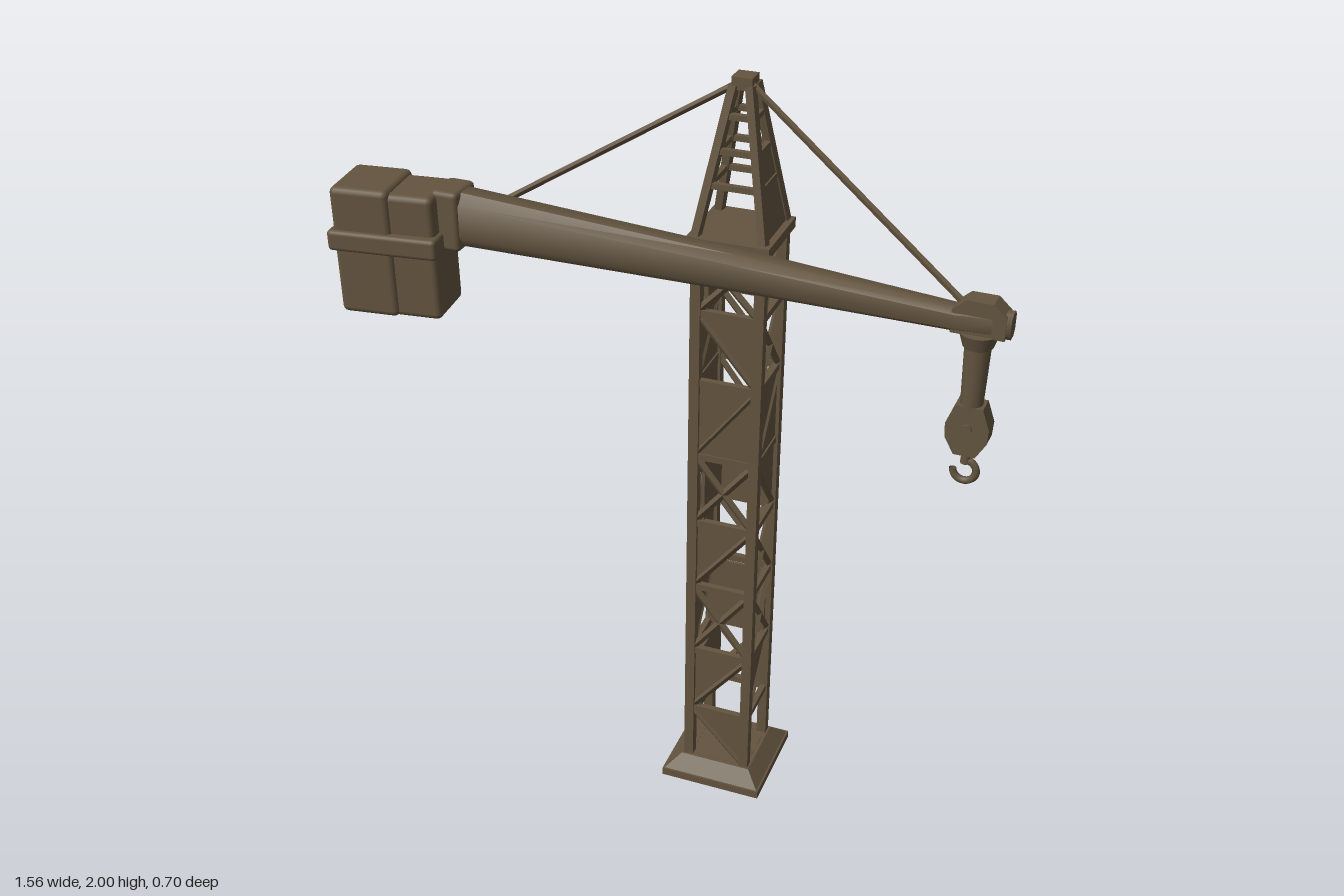
import * as THREE from 'three';
import { RoundedBoxGeometry } from 'three/addons/geometries/RoundedBoxGeometry.js';
import { toCreasedNormals } from 'three/addons/utils/BufferGeometryUtils.js';

const paint = new THREE.MeshStandardMaterial({ color: 0x63543f, side: THREE.DoubleSide });
paint.name = 'weathered brown';

function add(parent, name, geometry, x = 0, y = 0, z = 0) {
  const mesh = new THREE.Mesh(geometry, paint);
  mesh.name = name;
  mesh.position.set(x, y, z);
  parent.add(mesh);
  return mesh;
}

function group(parent, name, x = 0, y = 0, z = 0, turn = 0) {
  const g = new THREE.Group();
  g.name = name;
  g.position.set(x, y, z);
  g.rotation.y = turn;
  parent.add(g);
  return g;
}

const box = (w, h, d) => new THREE.BoxGeometry(w, h, d);

// Straight bar between two points
function bar(parent, name, a, b, w, d = w) {
  const p = new THREE.Vector3(...a), q = new THREE.Vector3(...b);
  const mesh = add(parent, name, box(w, d, p.distanceTo(q)));
  mesh.position.copy(p).lerp(q, 0.5);
  mesh.quaternion.setFromUnitVectors(new THREE.Vector3(0, 0, 1), q.sub(p).normalize());
  return mesh;
}

// Square frustum with flat sides
function frustum(bottom, top, height) {
  const g = new THREE.CylinderGeometry(top * Math.SQRT2, bottom * Math.SQRT2, height, 4).toNonIndexed();
  g.rotateY(Math.PI / 4);
  g.computeVertexNormals();
  return g;
}

// Thin plate from outline points
function plate(points, depth = 0.008) {
  const shape = new THREE.Shape(points.map(p => new THREE.Vector2(...p)));
  return new THREE.ExtrudeGeometry(shape, { depth, bevelEnabled: false });
}

// Chamfered beam lofted along x; stations are [x, low, high, half width]
function loftBeam(stations) {
  const pos = [], idx = [];
  for (const [x, low, high, w] of stations) {
    const h = (high - low) / 2, mid = (high + low) / 2;
    for (const [cy, cz] of [[1, -0.5], [1, 0.5], [0.6, 1], [-0.6, 1], [-1, 0.5], [-1, -0.5], [-0.6, -1], [0.6, -1]])
      pos.push(x, mid + cy * h, cz * w);
  }
  const last = (stations.length - 1) * 8;
  for (let s = 0; s < last; s += 8)
    for (let j = 0; j < 8; j++) {
      const a = s + j, b = s + (j + 1) % 8;
      idx.push(a, b, a + 8, b, b + 8, a + 8);
    }
  for (let k = 1; k < 7; k++) idx.push(0, k + 1, k, last, last + k, last + k + 1);
  const g = new THREE.BufferGeometry();
  g.setAttribute('position', new THREE.Float32BufferAttribute(pos, 3));
  g.setIndex(idx);
  return toCreasedNormals(g, 0.9);
}

function buildTower(root) {
  const tower = group(root, 'tower', 0.19, 0, -0.13, -0.37);
  const levels = [0.05, 0.22, 0.42, 0.63, 0.83, 1.03, 1.24, 1.43, 1.6];
  const h = 0.08;

  // Foot
  add(tower, 'basePlate', box(0.28, 0.022, 0.28), 0, 0.011, 0);
  add(tower, 'baseSlope', frustum(0.135, 0.098, 0.036), 0, 0.04, 0);

  // Lattice sides: F filled, T half filled, P recessed panel with cross, X open cross, O open
  const sides = ['TTXTXFTX', 'OTXXTFXX', 'OXPXPXXP', 'OPTFPTFP'];
  sides.forEach((codes, i) => {
    const face = group(tower, 'towerSide', 0, 0, 0, i * Math.PI / 2);
    add(face, 'cornerPost', box(0.026, 1.57, 0.026), h, 0.825, h);
    levels.forEach(y => add(face, 'rail', box(2 * h, 0.018, 0.016), 0, y, h));
    [...codes].forEach((code, c) => {
      const y0 = levels[c], y1 = levels[c + 1], flip = c % 2 ? 1 : -1;
      if (code === 'F') add(face, 'panel', box(2 * h, y1 - y0, 0.008), 0, (y0 + y1) / 2, h);
      if (code === 'P') add(face, 'recessedPanel', box(2 * h, y1 - y0, 0.008), 0, (y0 + y1) / 2, h - 0.025);
      if (code === 'T') add(face, 'gusset', plate([[-h * flip, y0], [h * flip, y1], [-h * flip, y1]]), 0, 0, h - 0.006);
      if (code === 'O') return;
      bar(face, 'brace', [-h * flip, y0, h], [h * flip, y1, h], 0.014);
      if (code === 'X' || code === 'P') bar(face, 'brace', [h * flip, y0, h], [-h * flip, y1, h], 0.014);
    });
  });

  // Head: collar and tapering mast
  add(tower, 'headCollar', box(0.205, 0.026, 0.205), 0, 1.617, 0);
  const halfAt = y => 0.083 - (y - 1.63) * 0.18;
  for (let i = 0; i < 4; i++) {
    const face = group(tower, 'mastSide', 0, 0, 0, i * Math.PI / 2);
    const a = halfAt(1.63), b = halfAt(1.98);
    bar(face, 'mastLeg', [a, 1.63, a], [b, 1.98, b], 0.02);
    for (const y of [1.75, 1.83, 1.91]) {
      const r = halfAt(y);
      add(face, 'rung', box(2 * r, 0.014, 0.014), 0, y, r);
    }
    if (i === 1) {
      const t = halfAt(1.83);
      const panel = add(face, 'mastPanel', plate([[-a, 0], [a, 0], [t, 0.203], [-t, 0.203]]), 0, 1.63, a - 0.004);
      panel.rotation.x = -Math.atan(0.18);
    }
  }
  add(tower, 'mastCap', box(0.05, 0.03, 0.05), 0, 1.985, 0);
}

function buildBoom(root) {
  const boom = group(root, 'boom', -0.52, 0, -0.205, -0.397);
  add(boom, 'boomBeam', loftBeam([
    [0, 1.565, 1.705, 0.043], [0.75, 1.575, 1.665, 0.038],
    [1.26, 1.575, 1.63, 0.029], [1.383, 1.575, 1.635, 0.023],
  ]));
  add(boom, 'tailCollar', new RoundedBoxGeometry(0.07, 0.15, 0.1, 2, 0.012), 0.03, 1.632, 0);

  // Pulley head, hanging arm, block and hook
  const hoist = group(boom, 'hoist', 1.312, 0, 0);
  add(hoist, 'pulleyHead', plate([[-0.06, 1.575], [0.06, 1.575], [0.06, 1.63], [0.03, 1.657], [-0.03, 1.657], [-0.06, 1.63]], 0.05), 0, 0, -0.025);
  add(hoist, 'armCollar', new THREE.CylinderGeometry(0.045, 0.034, 0.035, 16), 0, 1.56, 0);
  add(hoist, 'hangingArm', new THREE.CylinderGeometry(0.031, 0.026, 0.17, 12), 0, 1.475, 0);
  add(hoist, 'hookBlock', plate([[-0.032, 1.4], [-0.05, 1.35], [-0.048, 1.315], [-0.025, 1.275],
    [0.025, 1.275], [0.048, 1.315], [0.05, 1.35], [0.032, 1.4]], 0.05), 0, 0, -0.025);
  const pin = add(hoist, 'blockPin', new THREE.CylinderGeometry(0.012, 0.012, 0.062, 12), 0, 1.345, 0);
  pin.rotation.x = Math.PI / 2;
  add(hoist, 'hookShank', new THREE.CylinderGeometry(0.01, 0.012, 0.04, 10), 0, 1.265, 0);
  const hook = add(hoist, 'hook', new THREE.TorusGeometry(0.027, 0.009, 8, 20, Math.PI * 1.5), 0, 1.225, 0);
  hook.rotation.z = -Math.PI;
}

function buildCounterweight(root) {
  const weight = group(root, 'counterweight', -0.608, 0, -0.225, -0.285);
  weight.rotation.z = 0.02;
  add(weight, 'outerBlock', new RoundedBoxGeometry(0.15, 0.325, 0.165, 2, 0.015), -0.053, 1.545, 0).position.x += 0.03;
  add(weight, 'innerBlock', new RoundedBoxGeometry(0.13, 0.315, 0.145, 2, 0.015), 0.095, 1.54, 0);
  add(weight, 'endBlock', new RoundedBoxGeometry(0.06, 0.315, 0.15, 2, 0.015), -0.07, 1.545, 0);
  add(weight, 'belt', new RoundedBoxGeometry(0.28, 0.052, 0.19, 2, 0.01), 0.03, 1.575, 0);
  weight.position.x -= 0.03;
}

export function createModel() {
  const root = new THREE.Group();
  root.name = 'towerCrane';
  buildTower(root);
  buildBoom(root);
  buildCounterweight(root);

  // Stay cables from the mast cap to the boom
  bar(root, 'rearCable', [0.18, 1.985, -0.127], [-0.38, 1.67, -0.178], 0.011);
  bar(root, 'frontCable', [0.2, 1.985, -0.12], [0.66, 1.63, 0.285], 0.011);
  return root;
}
